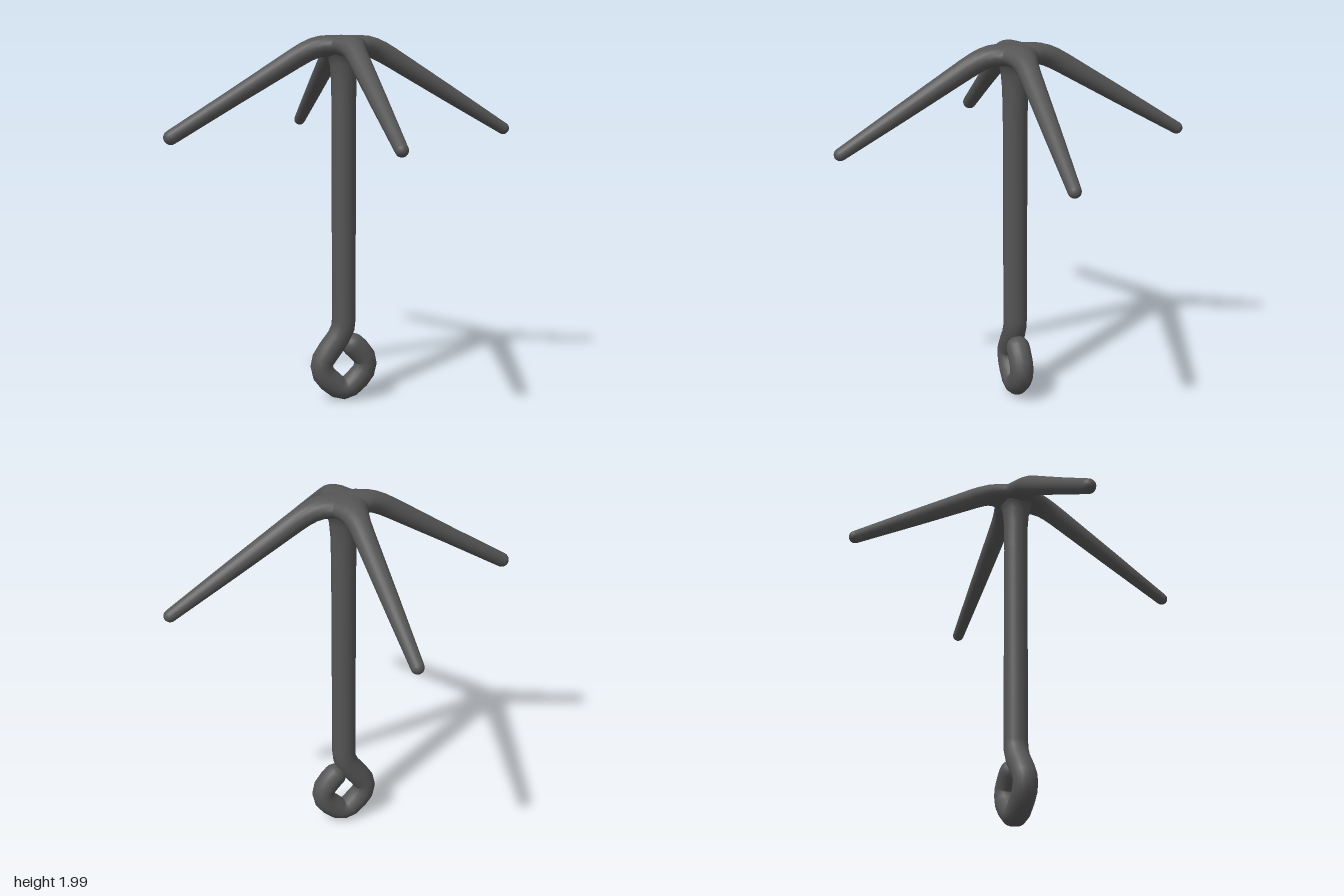
import * as THREE from 'three';

const material = new THREE.MeshStandardMaterial({ color: 0x555555 });
const SIDES = 20;

// Sweep an ellipse along a path in the xy plane; each station is [x, y, half height, half depth].
function sweep(stations, name) {
  const list = stations.map((s) => [...s]);
  const n = list.length;
  const tangents = list.map((_, i) => {
    const a = list[Math.max(i - 1, 0)], b = list[Math.min(i + 1, n - 1)];
    return new THREE.Vector2(b[0] - a[0], b[1] - a[1]).normalize();
  });
  // rounded end
  const [ex, ey, eh, ew] = list[n - 1];
  const et = tangents[n - 1];
  for (let k = 1; k <= 5; k++) {
    const a = (k / 5) * Math.PI / 2, c = k === 5 ? 0 : Math.cos(a), d = eh * Math.sin(a);
    list.push([ex + et.x * d, ey + et.y * d, eh * c, ew * c]);
    tangents.push(et);
  }
  const pos = [], index = [];
  list.forEach(([x, y, h, w], i) => {
    const t = tangents[i];
    for (let j = 0; j < SIDES; j++) {
      const a = (j / SIDES) * Math.PI * 2, u = h * Math.cos(a);
      pos.push(x - t.y * u, y + t.x * u, w * Math.sin(a));
      if (i < list.length - 1) {
        const p = i * SIDES + j, q = i * SIDES + (j + 1) % SIDES;
        index.push(p, q, p + SIDES, q, q + SIDES, p + SIDES);
      }
    }
  });
  const geometry = new THREE.BufferGeometry();
  geometry.setAttribute('position', new THREE.Float32BufferAttribute(pos, 3));
  geometry.setIndex(index);
  geometry.computeVertexNormals();
  const mesh = new THREE.Mesh(geometry, material);
  mesh.name = name;
  return mesh;
}

export function createModel() {
  const group = new THREE.Group();
  group.name = 'grapnelHook';

  // shaft flaring into the hub on top, bent into an eye at the bottom
  const r = 0.065;
  group.add(sweep([
    [0, 1.94, 0.12, 0.12], [0, 1.91, 0.105, 0.105], [0, 1.88, 0.085, 0.085],
    [0, 1.84, 0.075, 0.075], [0, 1.76, 0.068, 0.068], [0, 1.6, r, r],
    [0, 0.46, r, r], [-0.005, 0.41, r, r], [-0.03, 0.355, r, r],
    [-0.083, 0.287, r, r], [-0.118, 0.235, 0.063, r], [-0.126, 0.2, 0.062, r],
    [-0.115, 0.155, 0.063, r], [-0.083, 0.117, r, r], [-0.035, 0.075, 0.063, r],
    [0, 0.064, 0.062, 0.062], [0.035, 0.075, 0.063, r], [0.083, 0.117, r, r],
    [0.115, 0.155, 0.063, r], [0.126, 0.2, 0.062, r], [0.118, 0.235, 0.063, r],
    [0.083, 0.28, r, r], [0.055, 0.307, r, r],
  ], 'shaftAndEye'));

  // four drooping arms that widen where they merge at the hub
  for (let i = 0; i < 4; i++) {
    const tip = i === 2 ? 0.039 : 0.033;
    const arm = sweep([
      [-0.05, 1.94, 0.056, 0.125], [0.05, 1.94, 0.056, 0.12], [0.09, 1.939, 0.056, 0.1],
      [0.13, 1.936, 0.056, 0.08], [0.17, 1.925, 0.056, 0.068], [0.21, 1.907, 0.056, 0.06],
      [0.26, 1.879, 0.055, 0.056], [0.6, 1.675, 0.045, 0.045], [0.925, 1.48, tip, tip],
    ], 'arm' + (i + 1));
    arm.rotation.y = i * Math.PI / 2;
    group.add(arm);
  }
  return group;
}
